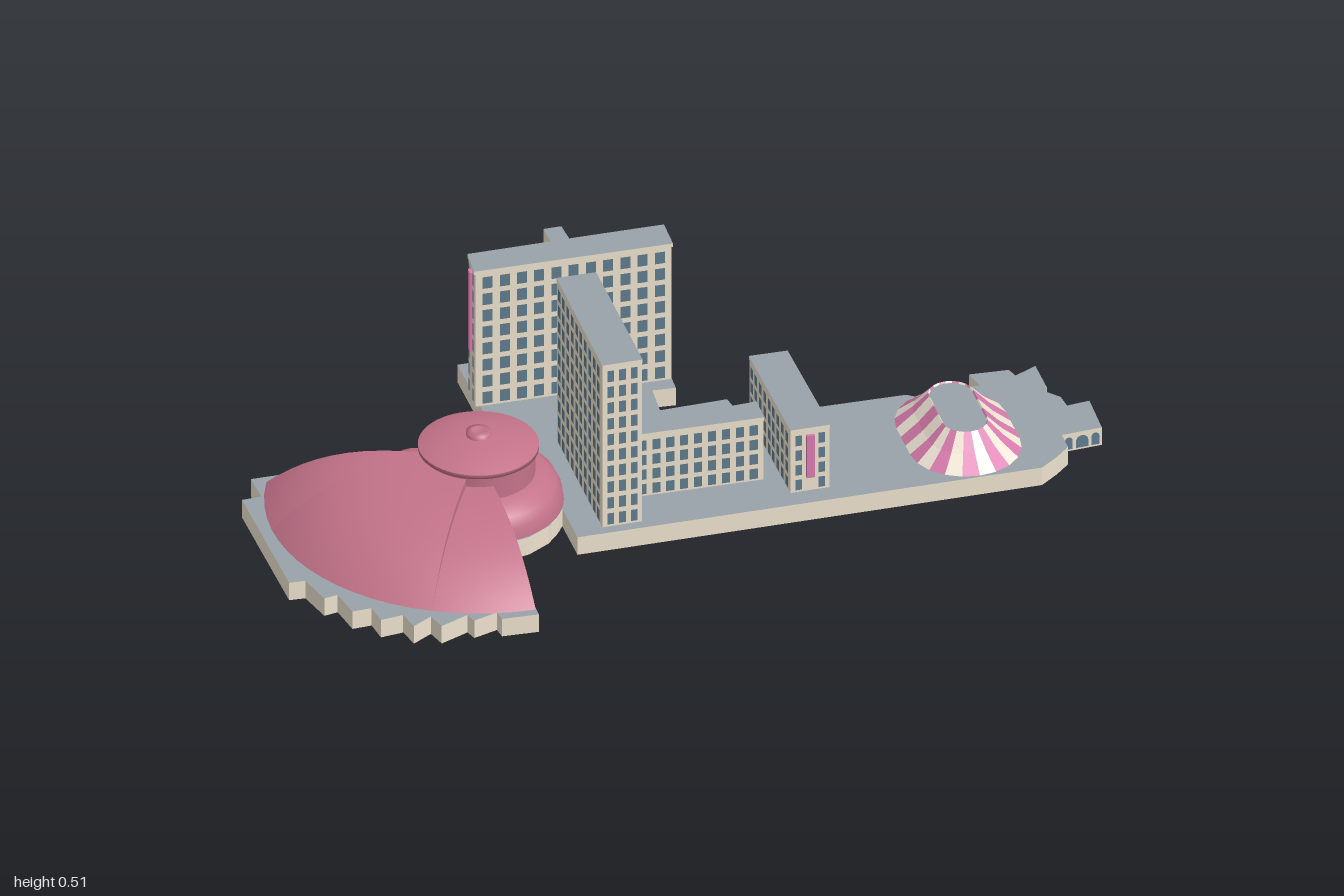
import * as THREE from 'three';
import { mergeGeometries } from 'three/addons/utils/BufferGeometryUtils.js';

const mat = (color, side = THREE.FrontSide) => {
  const m = new THREE.MeshStandardMaterial({ side });
  m.color.set(color);
  return m;
};
const BASE = 0.05;
const rad = THREE.MathUtils.degToRad;

export function createModel() {
  const model = new THREE.Group();
  const wall = mat(0xeee2ce, THREE.DoubleSide), roof = mat(0x98a2a9, THREE.DoubleSide), glass = mat(0x5f7c8e);
  const pink = mat(0xd97cae), cream = mat(0xf2e8d8);
  const shell = mat(0xc4738a, THREE.DoubleSide);

  const add = (parent, name, geometry, material) => {
    const mesh = new THREE.Mesh(geometry, material);
    mesh.name = name;
    parent.add(mesh);
    return mesh;
  };

  // Plan outline given as [x, z], clockwise seen from above
  const planShape = (plan) => new THREE.Shape(plan.map(([x, z]) => new THREE.Vector2(x, -z)));

  // Upright prism over a plan outline
  const prism = (parent, name, plan, y0, y1) => {
    const g = new THREE.ExtrudeGeometry(planShape(plan), { depth: y1 - y0, bevelEnabled: false });
    g.rotateX(-Math.PI / 2).translate(0, y0, 0);
    return add(parent, name, g, [roof, wall]);
  };

  // Stands a flat shape on the wall p-q at fraction t and height y
  const onWall = (g, [px, pz], [qx, qz], t, y, lift = 0.002) => {
    const len = Math.hypot(qx - px, qz - pz);
    const nx = (qz - pz) / len, nz = -(qx - px) / len;
    return g.rotateY(Math.atan2(nx, nz))
      .translate(px + (qx - px) * t + nx * lift, y, pz + (qz - pz) * t + nz * lift);
  };

  // A block with cornice, window grids per wall and optional coloured strips
  const building = (name, plan, top, rows, cols, strip = { edges: [] }) => {
    const group = new THREE.Group();
    group.name = name;
    model.add(group);
    prism(group, 'walls', plan, BASE, top - 0.01);
    const cx = plan.reduce((s, p) => s + p[0], 0) / plan.length;
    const cz = plan.reduce((s, p) => s + p[1], 0) / plan.length;
    prism(group, 'cornice', plan.map(([x, z]) => [cx + (x - cx) * 1.012, cz + (z - cz) * 1.012]), top - 0.01, top);
    const panes = [];
    const floor = (top - BASE - 0.012) / rows;
    cols.forEach((n, i) => {
      const p = plan[i], q = plan[(i + 1) % plan.length];
      const width = Math.hypot(q[0] - p[0], q[1] - p[1]) / (n + 0.4);
      for (let c = 0; c < n; c++) {
        if (strip.edges.includes(i) && c === (n - 1) / 2) continue;
        for (let r = 0; r < rows; r++) {
          panes.push(onWall(new THREE.PlaneGeometry(width * 0.58, floor * 0.7), p, q,
            (c + 0.7) / (n + 0.4), BASE + (r + 0.5) * floor));
        }
      }
    });
    add(group, 'windows', mergeGeometries(panes), glass);
    for (const edge of strip.edges) {
      add(group, 'signStrip', onWall(new THREE.BoxGeometry(0.02, strip.y1 - strip.y0, 0.012),
        plan[edge], plan[(edge + 1) % plan.length], 0.5, (strip.y0 + strip.y1) / 2), pink);
    }
  };

  // Podium: a deck on thin walls, open underneath, stepped around the fan hall
  const podium = [
    [-0.75, -0.61], [-0.21, -0.335], [-0.18, -0.35], [-0.03, -0.655], [0.1, -0.59], [0.105, -0.655],
    [0.15, -0.655], [0.155, -0.545], [0.395, -0.41], [0.29, -0.22], [0.24, -0.25], [0.15, -0.1],
    [0.68, 0.18], [0.69, 0.2], [0.84, 0.27], [0.855, 0.215], [0.94, 0.265], [0.935, 0.295], [1, 0.295],
    [0.955, 0.385], [0.94, 0.4], [0.95, 0.44], [0.935, 0.48], [0.99, 0.5], [0.93, 0.61], [0.835, 0.57],
    [0.81, 0.62], [0.76, 0.635], [0.7, 0.647], [-0.345, 0.12], [-0.285, 0], [-0.36, 0.035], [-0.43, 0.04],
    [-0.5, 0.02], [-0.65, 0.315], [-0.73, 0.27], [-0.72, 0.24], [-0.785, 0.23], [-0.78, 0.2],
    [-0.86, 0.195], [-0.85, 0.145], [-0.91, 0.15], [-0.895, 0.095], [-0.95, 0.075], [-0.93, 0.02],
    [-0.975, 0], [-0.95, -0.08], [-0.985, -0.09], [-0.965, -0.18], [-1, -0.2], [-0.83, -0.555], [-0.785, -0.535],
  ];
  add(model, 'podiumDeck', new THREE.ShapeGeometry(planShape(podium)).rotateX(-Math.PI / 2).translate(0, BASE, 0), roof);
  add(model, 'podiumWalls', mergeGeometries(podium.map((p, i) => {
    const q = podium[(i + 1) % podium.length];
    return onWall(new THREE.PlaneGeometry(Math.hypot(q[0] - p[0], q[1] - p[1]), BASE), p, q, 0.5, BASE / 2, 0);
  })), wall);

  // Arched openings around the end of the podium
  const arch = (w, h) => {
    const s = new THREE.Shape();
    s.moveTo(-w / 2, 0);
    s.lineTo(w / 2, 0);
    s.lineTo(w / 2, h - w / 2);
    s.absarc(0, h - w / 2, w / 2, 0, Math.PI, false);
    return new THREE.ShapeGeometry(s, 8);
  };
  const arches = [];
  [[[0.99, 0.5], [0.93, 0.61], 4], [[0.93, 0.61], [0.835, 0.57], 3], [[1, 0.295], [0.955, 0.385], 3],
    [[0.95, 0.44], [0.935, 0.48], 1]].forEach(([p, q, n]) => {
    for (let i = 0; i < n; i++) {
      const w = n === 3 && i === 1 ? 0.032 : 0.02;
      arches.push(onWall(arch(w, 0.034), p, q, (i + 0.5) / n, 0.006));
    }
  });
  add(model, 'podiumArches', mergeGeometries(arches), glass);

  // Hotel blocks
  building('mainTower', [[-0.085, -0.238], [0.003, -0.193], [-0.18, 0.172], [-0.27, 0.127]], 0.515, 10, [3, 10, 3, 10]);
  building('backTower', [[-0.085, -0.555], [0.1, -0.462], [0.125, -0.515], [0.165, -0.495], [0.142, -0.442],
    [0.352, -0.335], [0.31, -0.257], [-0.127, -0.485]], 0.438, 8, [5, 0, 0, 0, 5, 3, 11, 3],
  { edges: [5, 7], y0: 0.19, y1: 0.415 });
  building('linkBlock', [[-0.11, -0.015], [0.155, 0.11], [0.145, 0.14], [0.2, 0.165], [0.165, 0.23], [-0.155, 0.06]],
    0.228, 4, [7, 0, 1, 2, 10, 0]);
  building('frontBlock', [[0.325, 0.005], [0.41, 0.05], [0.26, 0.364], [0.172, 0.32]], 0.23, 4, [3, 9, 3, 9],
    { edges: [2], y0: 0.09, y1: 0.21 });

  // Round hall: foundation ring, skirt, drum, shallow cap and knob
  const hall = new THREE.Group();
  hall.name = 'fanHall';
  hall.position.set(-0.405, 0, -0.17);
  model.add(hall);
  const lathe = (name, pts, material = shell, a0 = 0, a1 = 360) => add(hall, name, new THREE.LatheGeometry(
    pts.map(([r, y]) => new THREE.Vector2(r, y)), Math.ceil((a1 - a0) / 6), rad(a0 - 90), rad(a1 - a0)), material);
  lathe('foundationRing', [[0.207, 0], [0.207, BASE]], wall);
  lathe('skirt', [[0.207, BASE], [0.203, 0.08], [0.19, 0.108], [0.165, 0.128], [0.13, 0.135]]);
  lathe('drum', [[0.138, 0.125], [0.138, 0.203]]);
  lathe('capRim', [[0.13, 0.2], [0.147, 0.2], [0.147, 0.21]]);
  lathe('cap', [[0.147, 0.21], [0.11, 0.224], [0.06, 0.234], [0, 0.237]]);
  lathe('knob', [[0.03, 0.23], [0.03, 0.246], [0.016, 0.249], [0.016, 0.243], [0, 0.243]]);

  // Curved roof petals fanning out from the drum, closed by upright side walls
  const petal = (name, a0, a1, outer, top) => {
    const inner = 0.1;
    const profile = Array.from({ length: 15 }, (_, i) => {
      const t = Math.cos((i / 14) * Math.PI / 2);
      return [inner + (outer - inner) * t, BASE + (top - BASE) * (1 - Math.pow(t, 2.9))];
    });
    lathe(name, profile, shell, a0, a1);
    const side = new THREE.Shape([[inner, BASE], ...profile].map(([r, y]) => new THREE.Vector2(r, y)));
    for (const a of [a0, a1]) {
      add(hall, name + 'Side', new THREE.ShapeGeometry(side), shell).rotation.y = rad(a) + Math.PI;
    }
  };
  petal('middlePetal', -27, 35, 0.52, 0.192);
  petal('frontPetal', 35, 63, 0.52, 0.172);
  petal('backPetal', -51, -27, 0.52, 0.172);
  petal('smallPetal', -75, -53, 0.28, 0.145);

  // Striped oval tent around a flat roof
  const tent = new THREE.Group();
  tent.name = 'stripedTent';
  tent.position.set(0.655, 0, 0.394);
  tent.rotation.y = rad(63);
  model.add(tent);
  const half = 0.062, arcN = 10, straightN = 3;
  const ring = [];
  for (const s of [1, -1]) {
    for (let i = 0; i <= arcN; i++) {
      const a = -Math.PI / 2 + (i / arcN) * Math.PI;
      ring.push([s * half, s * Math.cos(a), s * Math.sin(a)]);
    }
    for (let i = 1; i < straightN; i++) ring.push([s * half * (1 - 2 * i / straightN), 0, s]);
  }
  const levels = [[0.138, BASE], [0.094, 0.086], [0.056, 0.127], [0.052, 0.122]];
  const at = (k, [r, y]) => {
    const [c, nx, nz] = ring[k % ring.length];
    return [c + nx * r, y, nz * r];
  };
  [['pinkStripes', pink], ['creamStripes', cream]].forEach(([name, material], parity) => {
    const pos = [];
    for (let k = parity; k < ring.length; k += 2) {
      for (let l = 0; l < levels.length - 1; l++) {
        const a = at(k, levels[l]), b = at(k + 1, levels[l]);
        const c = at(k + 1, levels[l + 1]), d = at(k, levels[l + 1]);
        pos.push(...a, ...c, ...b, ...a, ...d, ...c);
      }
    }
    const g = new THREE.BufferGeometry();
    g.setAttribute('position', new THREE.Float32BufferAttribute(pos, 3));
    g.computeVertexNormals();
    add(tent, name, g, material);
  });
  prism(tent, 'tentRoof', ring.map(([c, nx, nz]) => [c + nx * 0.053, nz * 0.053]), 0.11, 0.123);

  return model;
}
